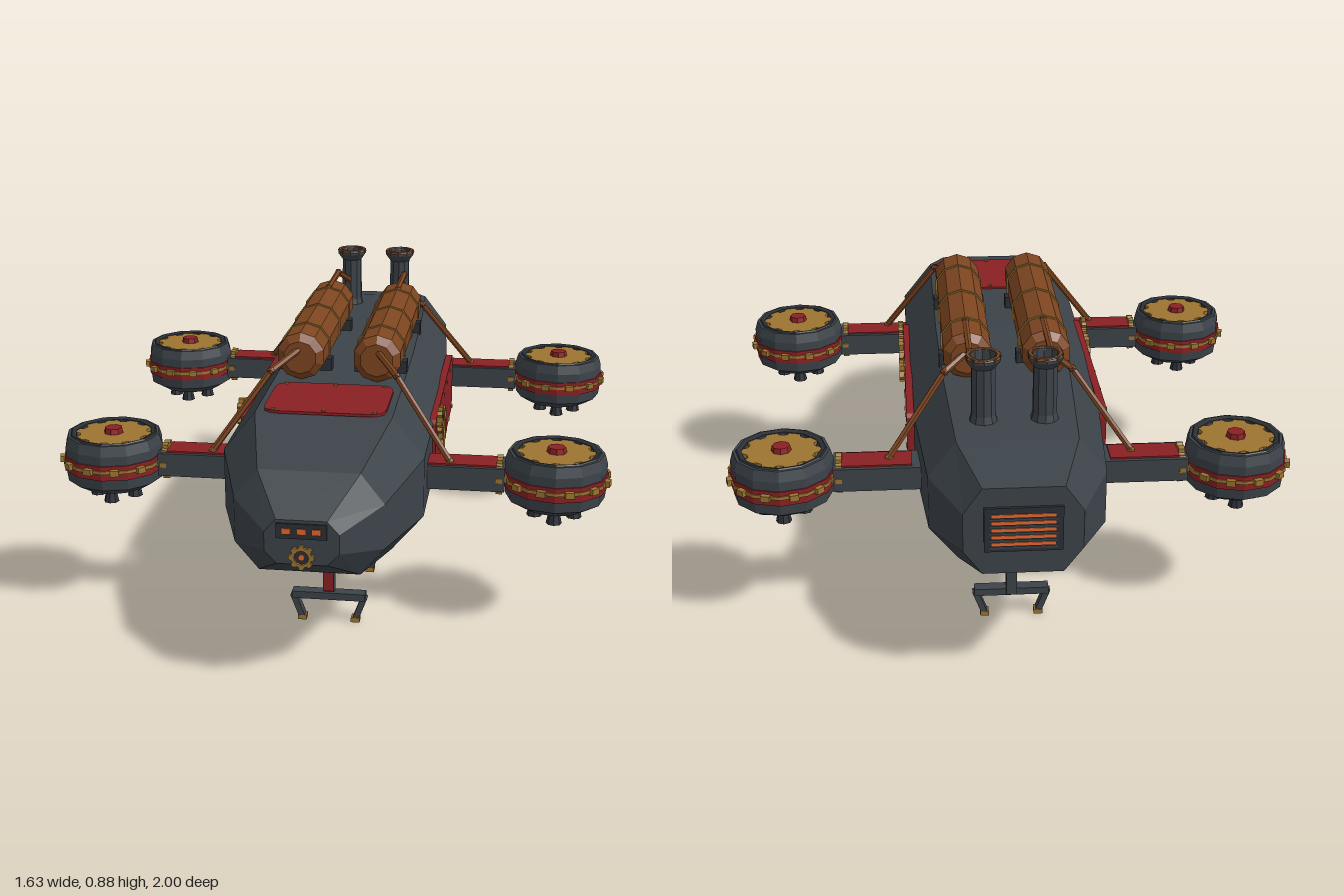
import * as THREE from 'three';

const mat = (name, color) => {
  const m = new THREE.MeshStandardMaterial({ color });
  m.name = name;
  return m;
};

export function createModel() {
  const slate = mat('slate', 0x3c4349);
  const dark = mat('dark iron', 0x2a2f35);
  const red = mat('red enamel', 0x8a2024);
  const copper = mat('copper', 0x7d4520);
  const brass = mat('brass', 0x9c7430);
  const glow = mat('orange glow', 0xe8682c);

  const root = new THREE.Group();
  root.name = 'airship';
  const group = (name, parent = root) => {
    const g = new THREE.Group();
    g.name = name;
    parent.add(g);
    return g;
  };
  // faceted mesh
  const add = (parent, name, geo, material, x = 0, y = 0, z = 0) => {
    const g = geo.index ? geo.toNonIndexed() : geo;
    g.computeVertexNormals();
    const m = new THREE.Mesh(g, material);
    m.name = name;
    m.position.set(x, y, z);
    parent.add(m);
    return m;
  };
  const box = (w, h, d) => new THREE.BoxGeometry(w, h, d);
  const cyl = (rt, rb, h, n = 8) => new THREE.CylinderGeometry(rt, rb, h, n);
  const lathe = (pts, n) => new THREE.LatheGeometry(pts.map(p => new THREE.Vector2(...p)), n);
  const V = (x, y, z) => new THREE.Vector3(x, y, z);
  const rod = (parent, name, a, b, r, material) => {
    const m = add(parent, name, cyl(r, r, a.distanceTo(b), 6), material);
    m.position.copy(a).lerp(b, 0.5);
    m.quaternion.setFromUnitVectors(V(0, 1, 0), b.clone().sub(a).normalize());
    return m;
  };
  const pipe = (parent, name, pts) => {
    const g = group(name, parent);
    pts.forEach((p, i) => {
      if (i) rod(g, 'pipeLength', pts[i - 1], p, 0.01, copper);
      add(g, 'pipeJoint', new THREE.IcosahedronGeometry(0.013, 0), i === pts.length - 1 ? brass : copper, p.x, p.y, p.z);
    });
  };
  // chamfered plate facing +z
  const plate = (w, h, c, depth) => {
    const s = new THREE.Shape(), X = w / 2, Y = h / 2;
    s.moveTo(-X + c, -Y); s.lineTo(X - c, -Y);
    s.quadraticCurveTo(X, -Y, X, -Y + c); s.lineTo(X, Y - c);
    s.quadraticCurveTo(X, Y, X - c, Y); s.lineTo(-X + c, Y);
    s.quadraticCurveTo(-X, Y, -X, Y - c); s.lineTo(-X, -Y + c);
    s.quadraticCurveTo(-X, -Y, -X + c, -Y);
    return new THREE.ExtrudeGeometry(s, { depth, bevelEnabled: false, curveSegments: 3 });
  };
  // toothed wheel facing +z
  const gear = (r, teeth, hole, depth, root = 0.8) => {
    const s = new THREE.Shape();
    for (let i = 0; i < teeth; i++) {
      [[-0.36, root], [-0.2, 1], [0.2, 1], [0.36, root]].forEach(([o, k], j) => {
        const a = (i + o) / teeth * Math.PI * 2;
        s[i + j ? 'lineTo' : 'moveTo'](Math.cos(a) * r * k, Math.sin(a) * r * k);
      });
    }
    s.closePath();
    if (hole) s.holes.push(new THREE.Path().absarc(0, 0, hole, 0, Math.PI * 2, true));
    return new THREE.ExtrudeGeometry(s, { depth, bevelEnabled: false, curveSegments: 6 });
  };
  // riveted panel in its own group, facing +z
  const panel = (name, w, h, c, depth, nx) => {
    const g = group(name);
    add(g, 'panelPlate', plate(w, h, c, depth), red);
    for (let i = 0; i <= nx; i++) for (const sy of [-1, 1]) {
      const x = (i / nx - 0.5) * (w - 0.06);
      add(g, 'rivet', box(0.011, 0.011, 0.008), brass, x, sy * (h / 2 - 0.014), depth);
    }
    return g;
  };

  // hull: octagonal sections [z, half width, bottom, top]
  const stations = [[-0.99, 0.16, 0.385, 0.64], [-0.79, 0.245, 0.32, 0.677], [-0.4, 0.274, 0.28, 0.687],
    [0, 0.287, 0.28, 0.687], [0.6, 0.287, 0.28, 0.68], [0.865, 0.205, 0.318, 0.61], [0.99, 0.1, 0.395, 0.52]];
  const section = [[0.68, 0], [1, 0.27], [1, 0.71], [0.68, 1], [-0.68, 1], [-1, 0.71], [-1, 0.27], [-0.68, 0]];
  const pos = [], idx = [], n = section.length;
  for (const [z, w, b, t] of stations) for (const [u, v] of section) pos.push(u * w, b + v * (t - b), z);
  const last = (stations.length - 1) * n;
  for (let i = 0; i < stations.length - 1; i++) for (let j = 0; j < n; j++) {
    const a = i * n + j, b = i * n + (j + 1) % n;
    idx.push(a, b, b + n, a, b + n, a + n);
  }
  for (let j = 1; j < n - 1; j++) idx.push(0, j + 1, j, last, last + j, last + j + 1);
  const hull = new THREE.BufferGeometry();
  hull.setAttribute('position', new THREE.Float32BufferAttribute(pos, 3));
  hull.setIndex(idx);
  add(root, 'hull', hull, slate);

  // red panels on top, bottom and sides
  const top = panel('topPanel', 0.35, 0.27, 0.05, 0.008, 2);
  top.position.set(0, 0.681, 0.473);
  top.rotation.x = -Math.PI / 2;
  const bottom = panel('bottomPanel', 0.36, 0.98, 0.05, 0.008, 2);
  bottom.position.set(0, 0.282, 0.1);
  bottom.rotation.x = Math.PI / 2;
  for (const s of [-1, 1]) {
    const side = panel('sidePanel', 0.72, 0.195, 0.03, 0.022, 5);
    side.position.set(s * 0.274, 0.482, -0.045);
    side.rotation.y = s * Math.PI / 2;
    for (const [z, y, r, t] of [[0.17, 0.505, 0.072, 10], [0.257, 0.563, 0.042, 8]]) {
      const wheel = add(root, 'sideGear', gear(r, t, r * 0.42, 0.016, 0.74), brass, s * 0.297, y, z);
      wheel.rotation.y = s * Math.PI / 2;
    }
  }

  // nose lamps and gear
  const nose = group('nose');
  add(nose, 'lampPlate', box(0.135, 0.042, 0.03), dark, 0, 0.49, 0.98);
  for (const x of [-0.04, 0, 0.04]) add(nose, 'lamp', box(0.024, 0.016, 0.006), glow, x, 0.49, 0.995);
  add(nose, 'noseGear', gear(0.035, 8, 0.02, 0.012), brass, 0, 0.417, 0.987);
  add(nose, 'noseHub', cyl(0.02, 0.02, 0.01), dark, 0, 0.417, 0.988).rotation.x = Math.PI / 2;
  add(nose, 'noseEye', cyl(0.009, 0.009, 0.006), glow, 0, 0.417, 0.994).rotation.x = Math.PI / 2;

  // rear exhaust grille
  const grille = group('rearGrille');
  add(grille, 'grilleFrame', box(0.21, 0.13, 0.016), dark, 0, 0.52, -0.99);
  for (let i = 0; i < 5; i++) {
    add(grille, 'grilleGlow', box(0.17, 0.009, 0.004), glow, 0, 0.478 + i * 0.021, -0.998);
    add(grille, 'grilleSlat', box(0.18, 0.006, 0.006), slate, 0, 0.4675 + i * 0.021, -0.997);
  }

  for (const s of [-1, 1]) {
    // tank with bands and saddles
    const tank = group('tank');
    const body = add(tank, 'tankBody', lathe([[0, -0.355], [0.05, -0.355], [0.073, -0.335], [0.073, 0.335], [0.05, 0.355], [0, 0.355]], 10),
      copper, s * 0.115, 0.755, -0.05);
    body.rotation.x = Math.PI / 2;
    for (const z of [0.175, -0.05, -0.275]) {
      add(tank, 'tankBand', cyl(0.077, 0.077, 0.009, 10), brass, s * 0.115, 0.755, z).rotation.x = Math.PI / 2;
      if (z !== -0.05) add(tank, 'tankSaddle', box(0.16, 0.05, 0.04), dark, s * 0.115, 0.697, z);
    }
    // smoke stack
    const stack = group('smokeStack');
    add(stack, 'stackBody', lathe([[0.045, 0.66], [0.035, 0.7], [0.034, 0.84], [0.05, 0.862], [0.05, 0.875], [0.036, 0.875], [0.03, 0.8], [0, 0.8]], 10),
      slate, s * 0.085, 0, -0.66);
    add(stack, 'stackRim', new THREE.TorusGeometry(0.043, 0.008, 6, 12), copper, s * 0.085, 0.87, -0.66).rotation.x = Math.PI / 2;
    // pipes
    pipe(root, 'stackPipe', [V(s * 0.115, 0.822, -0.29), V(s * 0.115, 0.822, -0.52), V(s * 0.09, 0.77, -0.635)]);
    pipe(root, 'frontPipe', [V(s * 0.115, 0.78, 0.29), V(s * 0.185, 0.74, 0.4), V(s * 0.35, 0.51, 0.47)]);
    pipe(root, 'rearPipe', [V(s * 0.115, 0.77, -0.39), V(s * 0.185, 0.735, -0.455), V(s * 0.35, 0.51, -0.54)]);

    for (const z of [0.447, -0.543]) {
      // outrigger arm
      const arm = group('outrigger');
      add(arm, 'armBeam', box(0.3, 0.07, 0.11), slate, s * 0.36, 0.469, z);
      add(arm, 'armPlate', box(0.2, 0.006, 0.085), red, s * 0.385, 0.506, z);
      add(arm, 'armFlange', gear(0.058, 10, 0, 0.018, 0.85), brass, s * 0.494 - 0.009, 0.468, z).rotation.y = Math.PI / 2;
      // lift pod
      const pod = group('liftPod');
      pod.position.set(s * 0.655, 0.467, z);
      add(pod, 'podShell', lathe([[0, -0.081], [0.1, -0.081], [0.143, -0.055], [0.147, -0.02], [0.147, 0.05], [0.138, 0.08], [0.115, 0.08], [0.108, 0.05], [0, 0.05]], 12), slate);
      add(pod, 'podRim', new THREE.TorusGeometry(0.123, 0.012, 5, 12), dark, 0, 0.073, 0).rotation.x = Math.PI / 2;
      add(pod, 'podBand', cyl(0.151, 0.151, 0.044, 12), red);
      add(pod, 'podHoop', cyl(0.155, 0.155, 0.01, 12), brass, 0, 0.004, 0);
      for (let i = 0; i < 12; i++) {
        const a = (i + 0.5) / 12 * Math.PI * 2;
        add(pod, 'podBolt', box(0.026, 0.018, 0.016), brass, Math.sin(a) * 0.153, 0.004, Math.cos(a) * 0.153).rotation.y = a;
      }
      add(pod, 'podGear', gear(0.113, 10, 0, 0.012, 0.87), brass, 0, 0.066, 0).rotation.x = -Math.PI / 2;
      add(pod, 'podHub', cyl(0.026, 0.03, 0.02), red, 0, 0.084, 0);
      for (let i = 0; i < 4; i++) {
        const a = i * Math.PI / 2;
        add(pod, 'podNozzle', cyl(0.014, 0.023, 0.042), dark, Math.sin(a) * 0.057, -0.098, Math.cos(a) * 0.057);
      }
    }
  }

  // belly rail
  const rail = group('bellyRail');
  add(rail, 'railBeam', box(0.06, 0.03, 1.27), slate, 0, 0.268, -0.04);
  for (const s of [-1, 1]) add(rail, 'railStrip', box(0.014, 0.018, 1.19), brass, s * 0.03, 0.246, -0.01);

  // cargo grabs
  for (const z of [0.504, 0.14, -0.225, -0.585]) {
    const grab = group('cargoGrab');
    grab.position.z = z;
    add(grab, 'grabCarriage', box(0.09, 0.035, 0.07), dark, 0, 0.25, 0);
    for (const s of [-1, 1]) add(grab, 'grabLug', box(0.014, 0.035, 0.05), dark, s * 0.034, 0.223, 0);
    add(grab, 'grabSocket', box(0.045, 0.05, 0.05), slate, 0, 0.22, 0);
    add(grab, 'grabPost', box(0.032, 0.13, 0.03), slate, 0, 0.14, -0.008);
    add(grab, 'grabPiston', box(0.032, 0.1, 0.012), red, 0, 0.15, 0.013);
    add(grab, 'grabBar', box(0.22, 0.022, 0.036), slate, 0, 0.082, 0);
    for (const s of [-1, 1]) {
      const leg = add(grab, 'grabClaw', box(0.018, 0.075, 0.028), slate, s * 0.094, 0.046, 0);
      leg.rotation.z = -s * 0.36;
      add(grab, 'grabFoot', box(0.026, 0.014, 0.03), brass, s * 0.08, 0.007, 0);
    }
  }
  return root;
}
